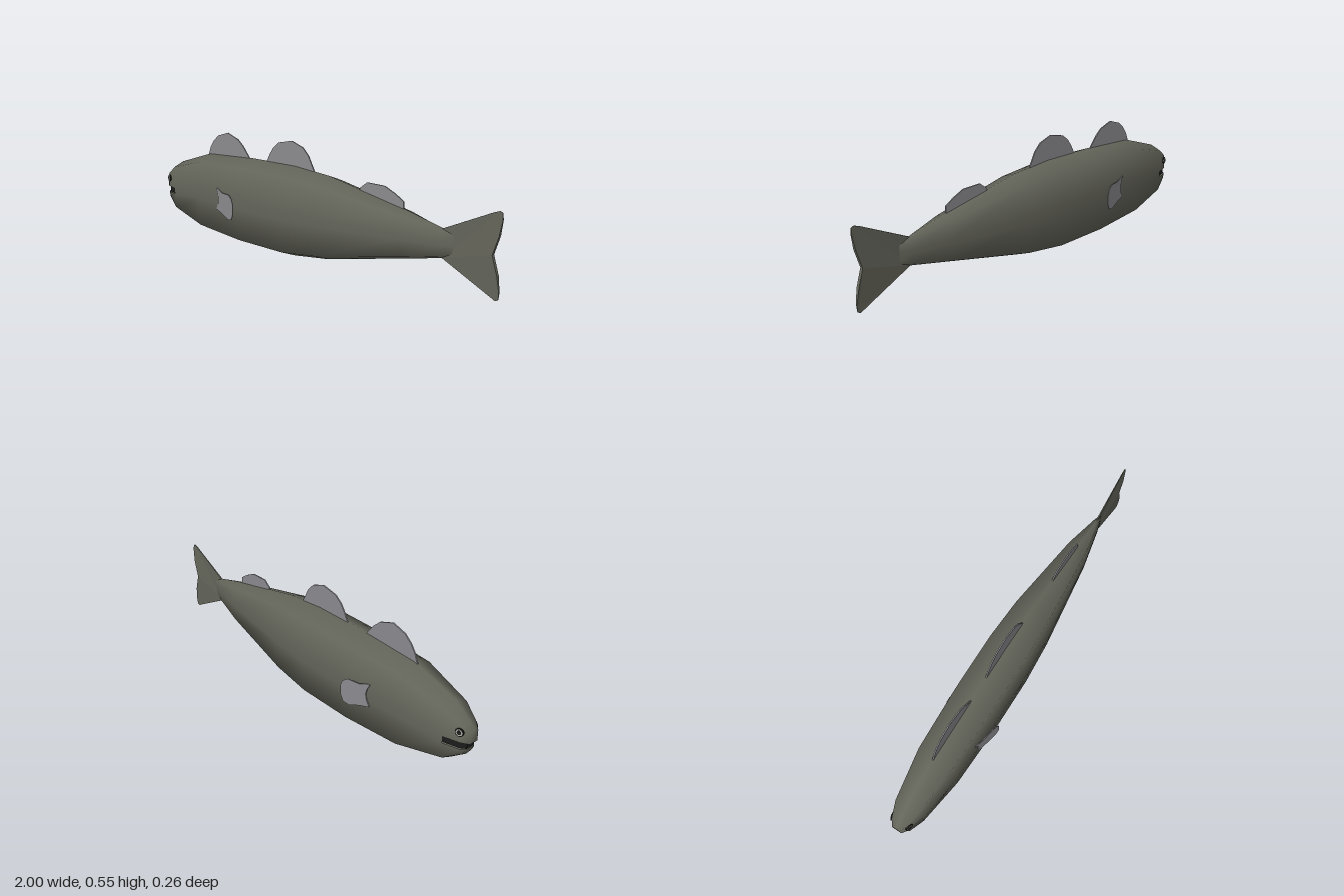
import * as THREE from 'three';
import { toCreasedNormals } from 'three/addons/utils/BufferGeometryUtils.js';

const mat = (color, double) => new THREE.MeshStandardMaterial({
  color, side: double ? THREE.DoubleSide : THREE.FrontSide });
const skin = mat(0x64655a, true), finGrey = mat(0x8c8c90), dark = mat(0x1c1c1c), pale = mat(0xaaaaa0);

function add(parent, name, geometry, material) {
  const mesh = new THREE.Mesh(geometry, material);
  mesh.name = name;
  parent.add(mesh);
  return mesh;
}

// Thin plate from an outline in x, y, centred on z = 0
function plate(points, thickness) {
  const shape = new THREE.Shape(points.map(p => new THREE.Vector2(p[0], p[1])));
  const g = new THREE.ExtrudeGeometry(shape, { depth: thickness, bevelEnabled: false });
  return g.translate(0, 0, -thickness / 2);
}

// Move every vertex by a rule
function warp(g, rule) {
  const p = g.attributes.position, v = new THREE.Vector3();
  for (let i = 0; i < p.count; i++) {
    rule(v.fromBufferAttribute(p, i));
    p.setXYZ(i, v.x, v.y, v.z);
  }
  g.computeVertexNormals();
  return g;
}

// Body cross-sections: x, top, bottom, half width
const SECTIONS = [
  [-1, 0.277, 0.172, 0.022], [-0.97, 0.302, 0.147, 0.042], [-0.9, 0.355, 0.092, 0.064],
  [-0.67, 0.426, 0.03, 0.095], [-0.37, 0.439, 0.005, 0.106], [-0.08, 0.439, 0.002, 0.107],
  [0.13, 0.42, 0.028, 0.097], [0.55, 0.336, 0.122, 0.053], [0.735, 0.29, 0.163, 0.016],
  [0.79, 0.27, 0.185, 0.002]];
const MOUTH_RINGS = 2; // spans left open between the lips

function bodyGeometry() {
  const pos = [], index = [], n = 10;
  SECTIONS.forEach(([x, top, bottom, w], s) => {
    const c = (top + bottom) / 2, h = (top - bottom) / 2, head = s <= MOUTH_RINGS;
    const up = head ? 0.217 : c + 0.1 * h, low = head ? 0.188 : c - 0.1 * h;
    const lowX = s === 0 ? x + 0.012 : x; // lower jaw is a little shorter
    const side = [[x, c + 0.83 * h, 0.9 * w], [x, up, w], [lowX, low, w], [lowX, c - 0.83 * h, 0.9 * w]];
    pos.push(x, top, 0, ...side.flat(), lowX, bottom, 0);
    side.reverse().forEach(p => pos.push(p[0], p[1], -p[2]));
  });
  for (let s = 0; s < SECTIONS.length - 1; s++) {
    for (let k = 0; k < n; k++) {
      if (s < MOUTH_RINGS && (k === 2 || k === 7)) continue;
      const a = s * n + k, b = s * n + (k + 1) % n;
      index.push(a, b, a + n, b, b + n, a + n);
    }
  }
  // Snout and chin ends
  index.push(8, 0, 9, 8, 1, 0, 8, 2, 1, 3, 5, 4, 3, 6, 5, 3, 7, 6);
  const g = new THREE.BufferGeometry();
  g.setAttribute('position', new THREE.Float32BufferAttribute(pos, 3));
  g.setIndex(index);
  return toCreasedNormals(g, 1.3);
}

export function createModel() {
  const fish = new THREE.Group();
  fish.name = 'fish';
  add(fish, 'body', bodyGeometry(), skin);

  // Dark filling of the mouth slot
  const half = [[-0.985, 0.019], [-0.965, 0.036], [-0.9, 0.056], [-0.88, 0.056]];
  const mouth = plate([...half, ...half.map(p => [p[0], -p[1]]).reverse()], 0.031);
  add(fish, 'mouth', mouth.rotateX(Math.PI / 2).translate(0, 0.2025, 0), dark);

  // Forked tail, thinning towards both tips
  const tail = plate([
    [0.735, 0.165], [0.96, 0.053], [0.985, 0.04], [0.998, 0.048], [1, 0.08], [0.99, 0.145], [0.965, 0.225],
    [0.99, 0.305], [1, 0.37], [0.998, 0.398], [0.985, 0.404], [0.96, 0.395], [0.735, 0.289]], 0.016);
  warp(tail, v => {
    const t = Math.abs(v.y - 0.222) / 0.185;
    v.z *= v.x < 0.75 ? 0.4 : Math.min(1, 1.5 * (1.06 - t));
  });
  add(fish, 'tailFin', tail, skin);

  // Three fins along the back
  const backFins = {
    frontDorsalFin: [[-0.69, 0.41], [-0.67, 0.46], [-0.645, 0.495], [-0.61, 0.525], [-0.54, 0.546],
      [-0.465, 0.52], [-0.43, 0.49], [-0.38, 0.43]],
    middleDorsalFin: [[-0.27, 0.43], [-0.245, 0.475], [-0.22, 0.51], [-0.185, 0.537], [-0.1, 0.554],
      [-0.03, 0.53], [0.005, 0.495], [0.045, 0.42]],
    rearDorsalFin: [[0.3, 0.37], [0.31, 0.395], [0.345, 0.422], [0.44, 0.42], [0.495, 0.395],
      [0.54, 0.368], [0.54, 0.32]],
  };
  for (const [name, outline] of Object.entries(backFins)) add(fish, name, plate(outline, 0.006), finGrey);

  // Eye and side fin, mirrored to both sides
  for (const s of [1, -1]) {
    const side = new THREE.Group();
    side.name = s > 0 ? 'leftSide' : 'rightSide';
    side.scale.z = s;
    fish.add(side);

    const eye = new THREE.Group();
    eye.name = 'eye';
    eye.position.set(-0.962, 0.263, 0.042);
    eye.rotation.set(-0.1, -0.33, 0);
    side.add(eye);
    [['eyeRim', 0.018, 0.01, dark], ['iris', 0.014, 0.013, pale], ['pupil', 0.009, 0.016, dark]]
      .forEach(([name, r, len, m]) =>
        add(eye, name, new THREE.CylinderGeometry(r, r, len, 16).rotateX(Math.PI / 2), m));

    const fin = plate([[-0.525, 0.283], [-0.505, 0.282], [-0.47, 0.268], [-0.41, 0.268], [-0.385, 0.25],
      [-0.375, 0.225], [-0.377, 0.175], [-0.39, 0.148], [-0.42, 0.142], [-0.475, 0.163], [-0.525, 0.175],
      [-0.51, 0.205], [-0.505, 0.235], [-0.513, 0.262]], 0.004);
    add(side, 'sideFin', warp(fin, v => { v.z += 0.101 + (v.x + 0.525) * 0.19; }), finGrey);
  }
  return fish;
}
